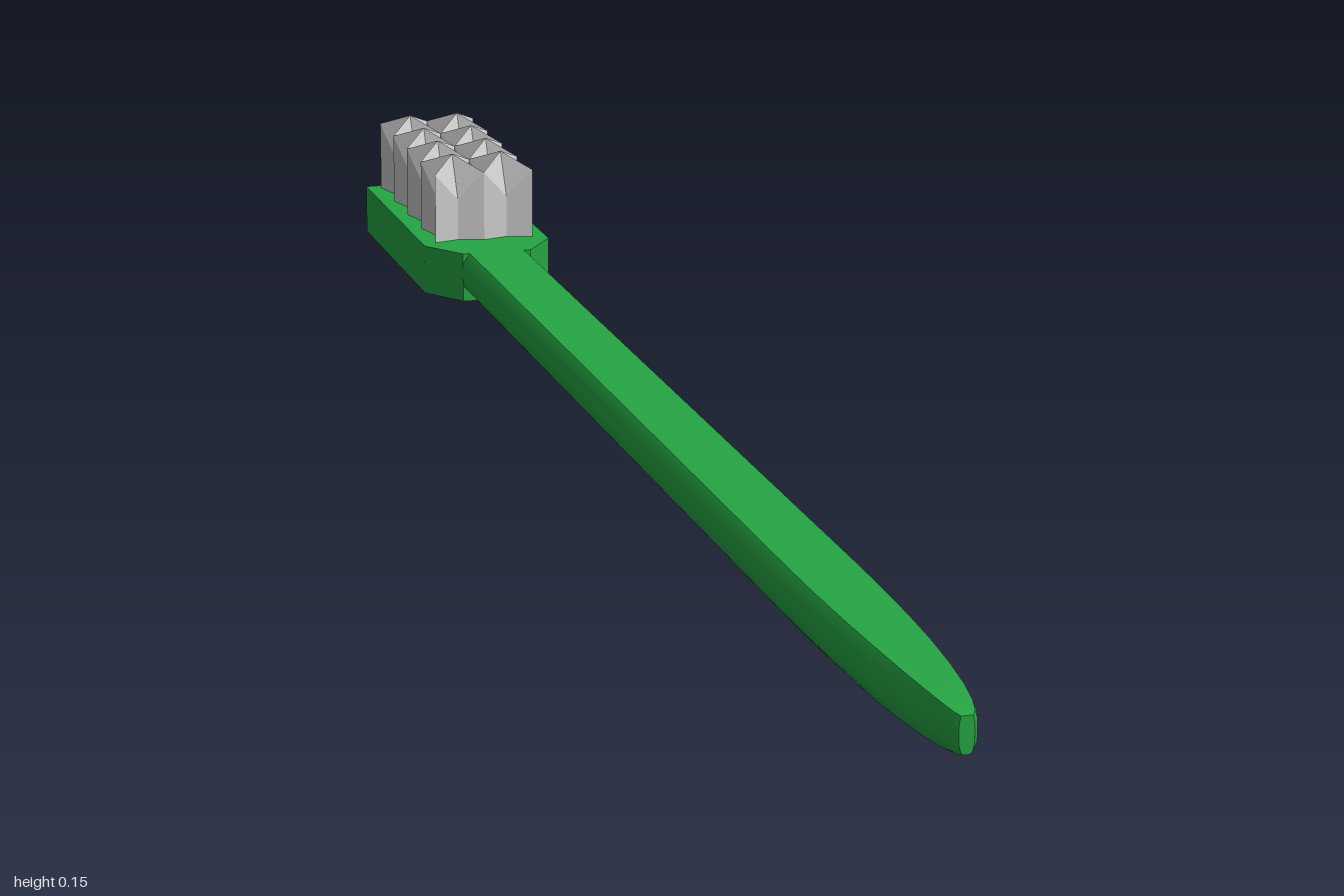
import * as THREE from 'three';
import { toCreasedNormals } from 'three/addons/utils/BufferGeometryUtils.js';

function buildGeometry(vertices, indices) {
  const g = new THREE.BufferGeometry();
  g.setAttribute('position', new THREE.Float32BufferAttribute(vertices.flat(), 3));
  g.setIndex(indices);
  return g;
}

// Handle: a flat-topped section with a rounded underside, lofted along z
function handleGeometry() {
  const half = [[0.018, 0.004], [0.031, 0.008], [0.039, 0.017], [0.041, 0.028], [0.04, 0.045], [0.032, 0.056]];
  const section = [...half, ...half.map(([x, y]) => [-x, y]).reverse()];
  const n = section.length;
  // each station: z, width scale, height scale
  const stations = [[-0.66, 1, 1], [0.6, 1, 1], [0.68, 0.98, 1], [0.76, 0.92, 1], [0.83, 0.83, 0.99],
    [0.89, 0.71, 0.95], [0.94, 0.57, 0.89], [0.975, 0.42, 0.81], [0.993, 0.29, 0.73], [1, 0.17, 0.66]];
  const vertices = [], indices = [];
  for (const [z, w, h] of stations) {
    for (const [x, y] of section) vertices.push([x * w, 0.03 + (y - 0.03) * h, z]);
  }
  for (let i = 0; i < stations.length - 1; i++) {
    for (let j = 0; j < n; j++) {
      const a = i * n + j, b = i * n + (j + 1) % n;
      indices.push(a, b, b + n, a, b + n, a + n);
    }
  }
  // blunt tip
  const last = (stations.length - 1) * n, centre = vertices.length;
  vertices.push([0, 0.03, 1]);
  for (let j = 0; j < n; j++) indices.push(centre, last + j, last + (j + 1) % n);
  return toCreasedNormals(buildGeometry(vertices, indices), 0.7);
}

// Head: flat block narrowing into the handle
function headGeometry() {
  const shape = new THREE.Shape([[-0.074, 1], [0.074, 1], [0.074, 0.68], [0.04, 0.63], [-0.04, 0.63], [-0.074, 0.68]]
    .map(([x, y]) => new THREE.Vector2(x, y)));
  const g = new THREE.ExtrudeGeometry(shape, { depth: 0.056, bevelEnabled: false });
  return g.rotateX(-Math.PI / 2); // shape y becomes -z
}

// Tuft: fluted square column with raised corners, low edge middles and a central peak
function tuftGeometry(hx, hz) {
  const inset = 0.009, base = 0.05;
  const ring = [[1, 0], [1, 1], [0, 1], [-1, 1], [-1, 0], [-1, -1], [0, -1], [1, -1]];
  const vertices = [], indices = [];
  for (const [sx, sz] of ring) {
    const corner = sx !== 0 && sz !== 0;
    const x = sx * (corner ? hx : hx - inset), z = -sz * (corner ? hz : hz - inset);
    vertices.push([x, base, z], [x, corner ? 0.136 : 0.104, z]);
  }
  vertices.push([0, 0.152, 0]);
  for (let j = 0; j < 8; j++) {
    const a = j * 2, b = ((j + 1) % 8) * 2;
    indices.push(a, b, b + 1, a, b + 1, a + 1, 16, a + 1, b + 1);
  }
  const g = buildGeometry(vertices, indices).toNonIndexed();
  g.computeVertexNormals();
  return g;
}

export function createModel() {
  const group = new THREE.Group();
  const green = new THREE.MeshStandardMaterial({ color: 0x26a644 });
  const grey = new THREE.MeshStandardMaterial({ color: 0xcccccc, flatShading: true });
  const add = (name, geometry, material, parent = group) => {
    const mesh = new THREE.Mesh(geometry, material);
    mesh.name = name;
    parent.add(mesh);
    return mesh;
  };

  add('handle', handleGeometry(), green);
  add('head', headGeometry(), green);

  // Bristles: two columns of four tufts
  const bristles = new THREE.Group();
  bristles.name = 'bristles';
  group.add(bristles);
  const hx = 0.029, hz = 0.037;
  const tuft = tuftGeometry(hx, hz);
  for (const side of [-1, 1]) {
    for (let row = 0; row < 4; row++) {
      add('bristleTuft', tuft, grey, bristles).position.set(side * hx, 0, -0.84 + (row - 1.5) * 2 * hz);
    }
  }
  return group;
}
